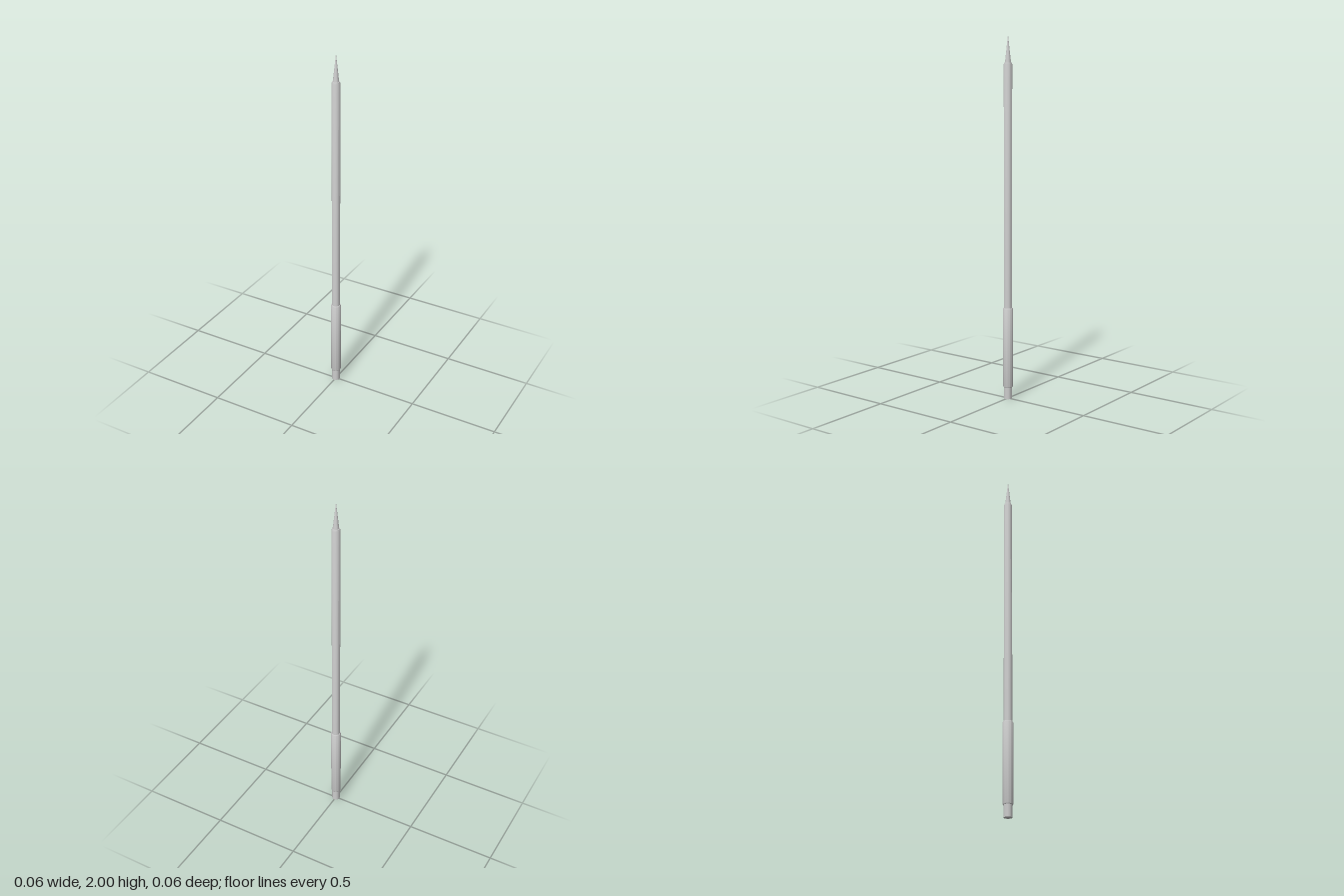
import * as THREE from 'three';
import { toCreasedNormals } from 'three/addons/utils/BufferGeometryUtils.js';

export function createModel() {
  const model = new THREE.Group();
  const material = new THREE.MeshStandardMaterial({ color: 0xcccccc });

  // Turned part from [radius, height] points, bottom to top
  function turned(name, profile, sides) {
    const points = profile.map(([r, y]) => new THREE.Vector2(r, y));
    const geometry = toCreasedNormals(new THREE.LatheGeometry(points, sides), 0.65);
    const mesh = new THREE.Mesh(geometry, material);
    mesh.name = name;
    model.add(mesh);
  }

  // Long shaft: plain butt end at the bottom, small bevel at the top
  turned('shaft', [[0, 0], [0.023, 0], [0.023, 1.845], [0.02, 1.855], [0, 1.855]], 16);

  // Thicker sleeve around the lower part of the shaft
  turned('grip', [
    [0.022, 0.066], [0.026, 0.066], [0.028, 0.07],
    [0.028, 0.512], [0.026, 0.516], [0.022, 0.516],
  ], 12);

  // Slender pointed tip
  turned('tip', [[0, 1.85], [0.017, 1.85], [0.0005, 1.998], [0, 2]], 16);

  return model;
}
